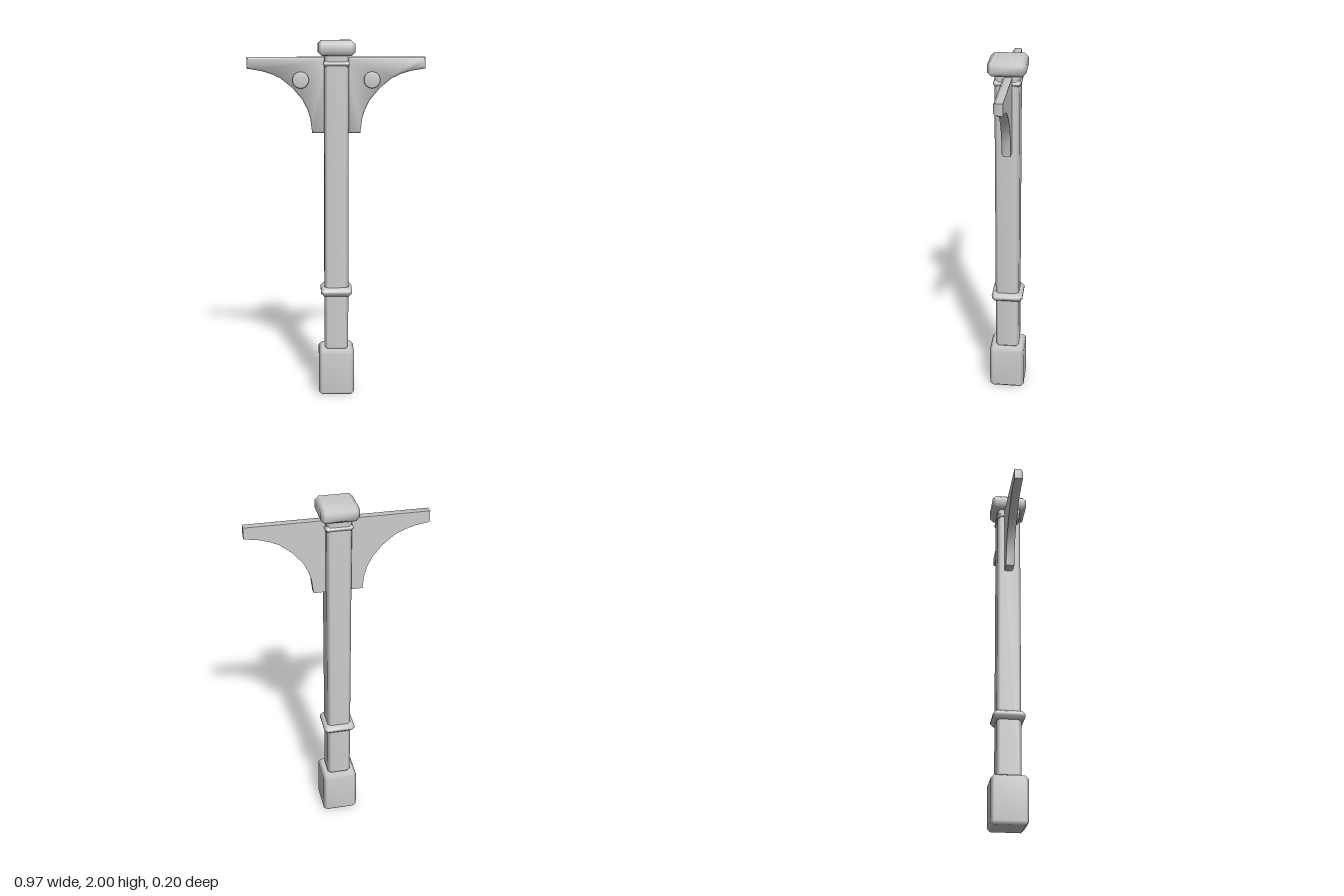
import * as THREE from 'three';
import { mergeVertices, toCreasedNormals } from 'three/addons/utils/BufferGeometryUtils.js';
import { ConvexGeometry } from 'three/addons/geometries/ConvexGeometry.js';

const stone = new THREE.MeshStandardMaterial({ color: 0xcccccc });
stone.name = 'light grey';

// Square block with chamfered edges and softly shaded corners
function block(name, half, y0, y1, c) {
  const h = (y1 - y0) / 2;
  const points = [];
  for (const x of [-1, 1]) for (const y of [-1, 1]) for (const z of [-1, 1]) {
    points.push(
      new THREE.Vector3(x * half, y * (h - c), z * (half - c)),
      new THREE.Vector3(x * (half - c), y * h, z * (half - c)),
      new THREE.Vector3(x * (half - c), y * (h - c), z * half)
    );
  }
  let geo = new ConvexGeometry(points);
  geo.deleteAttribute('normal');
  geo = mergeVertices(geo, 1e-4);
  geo.computeVertexNormals();
  const mesh = new THREE.Mesh(geo, stone);
  mesh.name = name;
  mesh.position.y = (y0 + y1) / 2;
  return mesh;
}

// Curved bracket, bevelled at the front and flat at the back
function bracket(side) {
  const outline = [
    [0.04, 1.91], [0.485, 1.91], [0.485, 1.848], [0.41, 1.836], [0.355, 1.82], [0.305, 1.797],
    [0.24, 1.745], [0.185, 1.68], [0.157, 1.625], [0.142, 1.575], [0.132, 1.497], [0.04, 1.497]
  ];
  const shape = new THREE.Shape(outline.map(([x, y]) => new THREE.Vector2(x * side, y)));
  const geo = new THREE.ExtrudeGeometry(shape, {
    depth: 0.039, bevelThickness: 0.01, bevelSize: 0.01, bevelOffset: -0.01, bevelSegments: 1
  });
  const p = geo.attributes.position;
  for (let i = 0; i < p.count; i++) p.setZ(i, Math.max(p.getZ(i), 0));
  geo.translate(0, 0, -0.027);
  const mesh = new THREE.Mesh(toCreasedNormals(geo, 0.9), stone);
  mesh.name = side > 0 ? 'leftBracket' : 'rightBracket';
  return mesh;
}

// Round boss on the front of a bracket
function boss(side) {
  const profile = [[0.045, 0], [0.045, 0.022], [0.037, 0.028], [0, 0.028]];
  const lathe = new THREE.LatheGeometry(profile.map(([r, y]) => new THREE.Vector2(r, y)), 24);
  lathe.rotateX(Math.PI / 2);
  const mesh = new THREE.Mesh(lathe, stone);
  mesh.name = side > 0 ? 'leftBoss' : 'rightBoss';
  mesh.position.set(side * 0.194, 1.787, 0.01);
  return mesh;
}

export function createModel() {
  const model = new THREE.Group();
  model.name = 'bracketedPost';
  model.add(
    block('base', 0.1, 0, 0.265, 0.018),
    block('shaft', 0.067, 0.26, 1.93, 0.018),
    block('lowerRing', 0.088, 0.58, 0.63, 0.018),
    block('upperRing', 0.073, 1.858, 1.89, 0.012),
    block('cap', 0.1, 1.917, 2, 0.02)
  );
  for (const side of [-1, 1]) model.add(bracket(side), boss(side));
  return model;
}
